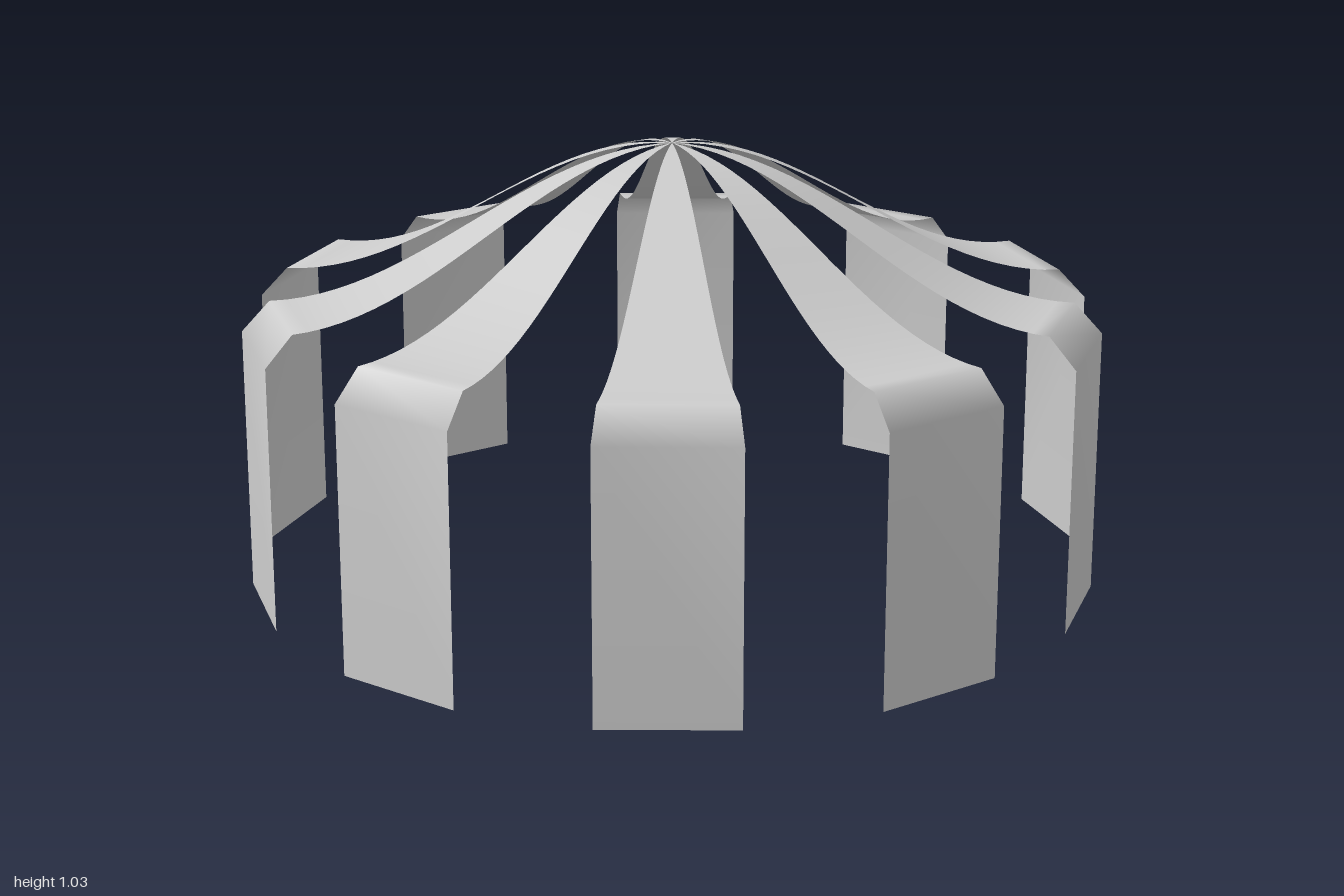
import * as THREE from 'three';

const STRIPES = 10;
const STEP = (Math.PI * 2) / STRIPES;
const EAVE_R = 0.935, EAVE_Y = 0.69, PEAK_Y = 1.03;

// Radius and height from the hem, over the eave bevel, up the bell curve to the peak
function makeProfile(segments = 24) {
  const points = [[1, 0], [1, 0.62]];
  for (let i = 0; i <= segments; i++) {
    const t = 1 - i / segments;
    points.push([EAVE_R * t, EAVE_Y + (PEAK_Y - EAVE_Y) * (1 + Math.cos(Math.PI * t)) / 2]);
  }
  return points;
}

// One strip: the profile spread across a flat half-step wedge
function makeStripe(profile) {
  const positions = [], index = [];
  profile.forEach(([r, y], i) => {
    for (const a of [0, STEP / 2]) positions.push(r * Math.cos(a), y, -r * Math.sin(a));
    if (i === 0) return;
    const b = (i - 1) * 2, t = i * 2;
    index.push(b, b + 1, t);
    if (i < profile.length - 1) index.push(b + 1, t + 1, t); // closes to a point at the peak
  });
  const geometry = new THREE.BufferGeometry();
  geometry.setAttribute('position', new THREE.Float32BufferAttribute(positions, 3));
  geometry.setIndex(index);
  geometry.computeVertexNormals();
  // The last peak vertex belongs to no face; give it its twin's normal
  const n = geometry.attributes.normal, last = n.count - 1;
  n.setXYZ(last, n.getX(last - 1), n.getY(last - 1), n.getZ(last - 1));
  return geometry;
}

export function createModel() {
  const group = new THREE.Group();
  group.name = 'stripedCanopy';
  const material = new THREE.MeshStandardMaterial({ color: 0xcccccc, side: THREE.DoubleSide });
  const geometry = makeStripe(makeProfile());

  // Alternate stripes with open gaps between them
  for (let i = 0; i < STRIPES; i++) {
    const stripe = new THREE.Mesh(geometry, material);
    stripe.name = `canopyStripe${i + 1}`;
    stripe.rotation.y = i * STEP;
    group.add(stripe);
  }
  return group;
}
